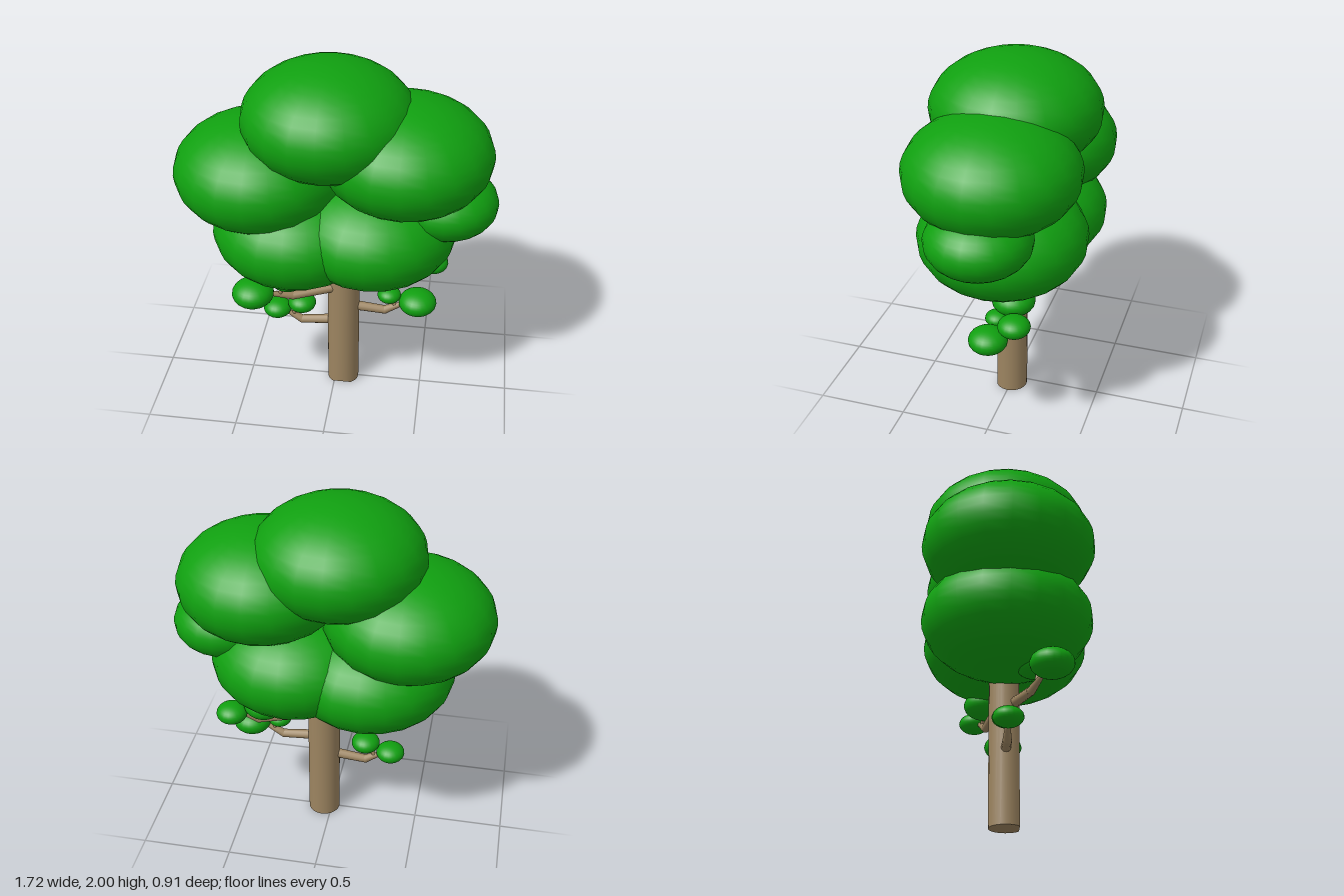
import * as THREE from 'three';

const V = (p) => new THREE.Vector3(...p);
const green = new THREE.MeshStandardMaterial({ color: 0x10a010 });
const bark = new THREE.MeshStandardMaterial({ color: 0x9c8460 });

// Flattened leaf ball: round from above, squashed in height
function leafBall(name, [x, y, z], r, ry = r * 0.66) {
  const mesh = new THREE.Mesh(new THREE.SphereGeometry(1, 20, 20), green);
  mesh.name = name;
  mesh.scale.set(r, ry, r);
  mesh.position.set(x, y, z);
  return mesh;
}

// Tapered stick between two points
function stick(name, from, to, r0, r1) {
  const a = V(from), b = V(to), d = b.clone().sub(a);
  const mesh = new THREE.Mesh(new THREE.CylinderGeometry(r1, r0, d.length(), 12), bark);
  mesh.name = name;
  mesh.position.copy(a).add(b).multiplyScalar(0.5);
  mesh.quaternion.setFromUnitVectors(new THREE.Vector3(0, 1, 0), d.normalize());
  return mesh;
}

// Branch: limb to an elbow, a tapering tip with one leaf ball, a side twig with another
function branch(name, b) {
  const g = new THREE.Group();
  g.name = name;
  const fork = V(b.elbow).lerp(V(b.tip), 0.5).toArray();
  const joint = new THREE.Mesh(new THREE.SphereGeometry(0.024, 12, 8), bark);
  joint.name = 'elbow';
  joint.position.set(...b.elbow);
  g.add(
    stick('limb', b.start, b.elbow, 0.028, 0.024),
    joint,
    stick('tip', b.elbow, b.tip, 0.024, 0.01),
    stick('twig', fork, b.twig, 0.013, 0.008),
    leafBall('tipLeaves', b.leafA, b.rA),
    leafBall('twigLeaves', b.leafB, b.rB),
  );
  return g;
}

export function createModel() {
  const tree = new THREE.Group();
  tree.name = 'tree';

  // Trunk, slightly flattened at the front
  const geo = new THREE.CylinderGeometry(0.09, 0.09, 1.1, 20);
  const pos = geo.attributes.position;
  for (let i = 0; i < pos.count; i++) pos.setZ(i, Math.min(pos.getZ(i), 0.071));
  const trunk = new THREE.Mesh(geo, bark);
  trunk.name = 'trunk';
  trunk.position.set(0.045, 0.55, 0);
  tree.add(trunk);

  // Crown
  const crown = new THREE.Group();
  crown.name = 'crown';
  crown.add(
    leafBall('crownTop', [-0.037, 1.7, 0], 0.455, 0.3),
    leafBall('crownUpperLeft', [0.365, 1.523, 0], 0.455, 0.3),
    leafBall('crownUpperRight', [-0.408, 1.377, 0], 0.455, 0.3),
    leafBall('crownLowerRight', [-0.215, 1.04, 0], 0.455, 0.3),
    leafBall('crownLowerLeft', [0.2, 1.075, 0], 0.455, 0.3),
    leafBall('crownSide', [0.585, 1.255, 0], 0.275, 0.18),
  );
  tree.add(crown);

  // Branches
  tree.add(
    branch('lowerLeftBranch', {
      start: [0.08, 0.525, 0], elbow: [0.28, 0.507, 0], tip: [0.4, 0.57, 0], twig: [0.31, 0.6, 0],
      leafA: [0.463, 0.58, 0], rA: 0.106, leafB: [0.303, 0.615, 0], rB: 0.066,
    }),
    branch('upperLeftBranch', {
      start: [0.08, 0.702, -0.02], elbow: [0.4, 0.672, -0.1], tip: [0.48, 0.73, -0.14], twig: [0.4, 0.76, -0.11],
      leafA: [0.532, 0.745, -0.165], rA: 0.086, leafB: [0.36, 0.79, -0.11], rB: 0.115,
    }),
    branch('lowerRightBranch', {
      start: [0, 0.412, 0], elbow: [-0.195, 0.39, 0], tip: [-0.3, 0.45, 0], twig: [-0.215, 0.49, 0],
      leafA: [-0.338, 0.46, 0], rA: 0.08, leafB: [-0.195, 0.511, 0], rB: 0.08,
    }),
    branch('upperRightBranch', {
      start: [0, 0.668, 0.04], elbow: [-0.225, 0.645, 0.12], tip: [-0.36, 0.69, 0.18], twig: [-0.27, 0.74, 0.15],
      leafA: [-0.428, 0.713, 0.215], rA: 0.115, leafB: [-0.245, 0.778, 0.14], rB: 0.1,
    }),
  );
  return tree;
}
